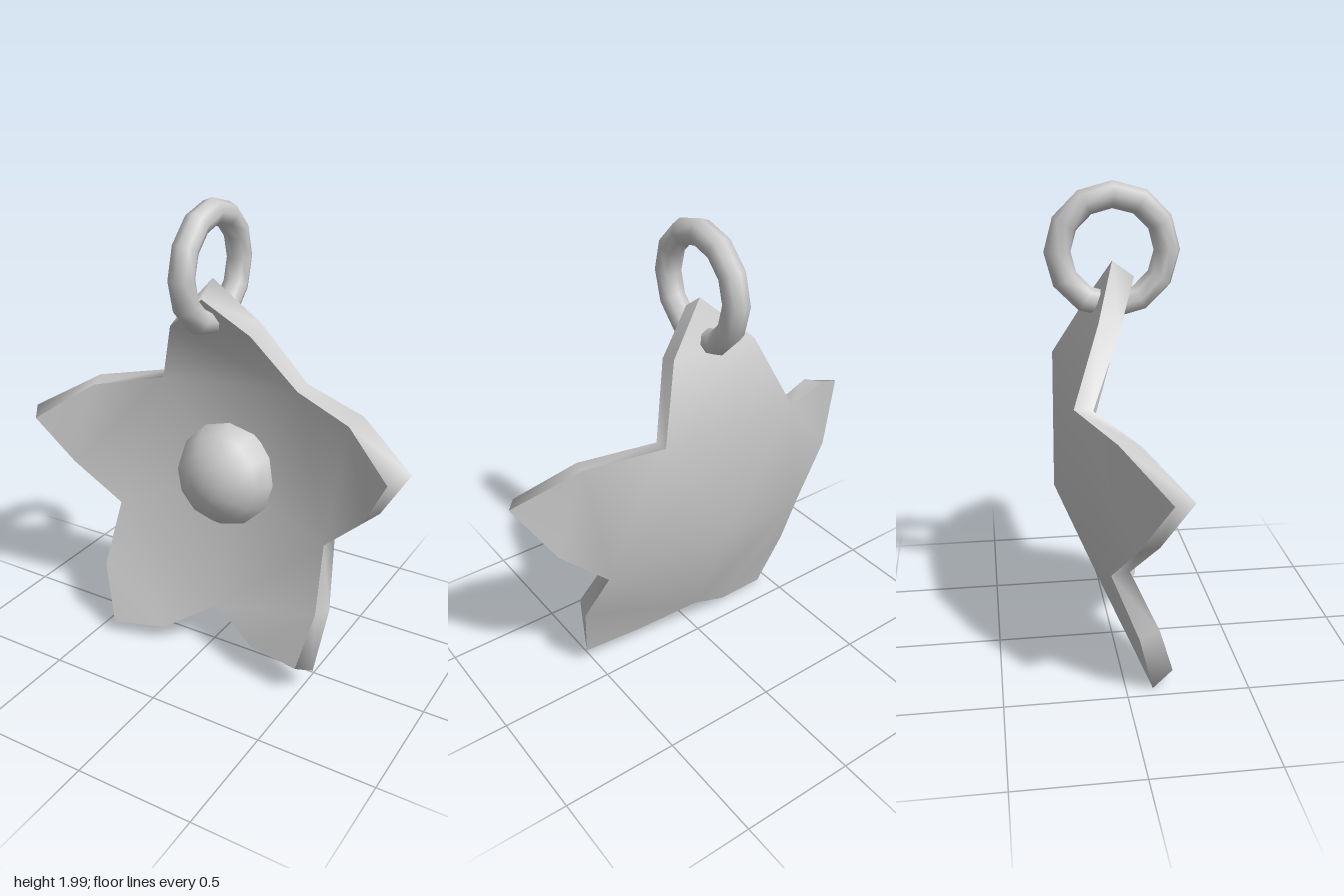
import * as THREE from 'three';

const material = new THREE.MeshStandardMaterial({ color: 0xcccccc, side: THREE.DoubleSide });

// Back edge of the five petals, counter-clockwise: tip, shoulder, valley, shoulder ...
const backEdge = [
  [-0.01, 1.69, 0], [-0.22, 1.49, -0.08], [-0.34, 1.19, -0.19], [-0.63, 1.15, -0.06],
  [-0.87, 1.01, 0.10], [-0.72, 0.77, 0], [-0.51, 0.57, -0.07], [-0.53, 0.29, 0.04],
  [-0.45, 0.01, 0.11], [-0.19, 0.06, 0.06], [0.04, 0.21, -0.03], [0.28, 0.12, 0.06],
  [0.54, 0.10, 0.10], [0.57, 0.37, 0.03], [0.52, 0.63, -0.10], [0.72, 0.82, -0.07],
  [0.865, 1.06, 0.01], [0.61, 1.20, -0.11], [0.31, 1.24, -0.22], [0.17, 1.51, -0.08],
].map((p) => new THREE.Vector3(...p));
const backCentre = new THREE.Vector3(0.01, 0.74, -0.245);
const frontCentre = new THREE.Vector3(0.01, 0.76, -0.15);

// Front edge: pushed forward and leaning inward, most at the tips
const frontEdge = backEdge.map((p, i) => {
  const inset = [0.065, 0.03, 0.015, 0.03][i % 4];
  const depth = [0.088, 0.085, 0.075, 0.085][i % 4];
  const dir = backCentre.clone().sub(p).setZ(0).normalize();
  return p.clone().addScaledVector(dir, inset).add(new THREE.Vector3(0, 0, depth));
});

function surface(points, index) {
  const g = new THREE.BufferGeometry().setFromPoints(points);
  g.setIndex(index);
  g.computeVertexNormals();
  return g;
}

// Five petals folded across the valleys and the shoulders, meeting at a centre point
function petals(centre, edge, facesBack) {
  const n = edge.length;
  const index = [];
  for (let tip = 0; tip < n; tip += 4) {
    const [v0, s0, t, s1, v1] = [-2, -1, 0, 1, 2].map((k) => (tip + k + n) % n);
    index.push(n, v0, v1, v0, s0, s1, v0, s1, v1, s0, t, s1);
  }
  if (facesBack) index.reverse();
  return surface([...edge, centre], index);
}

// Band joining the front edge to the back edge
function rim(front, back) {
  const n = front.length;
  const index = [];
  for (let i = 0; i < n; i++) {
    const j = (i + 1) % n;
    index.push(i, n + i, j, j, n + i, n + j);
  }
  return surface([...front, ...back], index);
}

export function createModel() {
  const model = new THREE.Group();
  model.name = 'flowerPendant';
  const add = (name, geometry, parent = model) => {
    const mesh = new THREE.Mesh(geometry, material);
    mesh.name = name;
    parent.add(mesh);
    return mesh;
  };

  // Cupped flower plate
  const flower = new THREE.Group();
  flower.name = 'flower';
  model.add(flower);
  add('flowerFront', petals(frontCentre, frontEdge, false), flower);
  add('flowerBack', petals(backCentre, backEdge, true), flower);
  add('flowerRim', rim(frontEdge, backEdge), flower);

  // Half dome set in the middle, facing slightly upward
  const domeShape = new THREE.SphereGeometry(0.238, 12, 5, 0, Math.PI * 2, 0, Math.PI / 2);
  const dome = add('centreDome', domeShape.rotateX(Math.PI / 2));
  dome.scale.z = 0.95;
  dome.rotation.x = -0.12;
  dome.position.set(-0.01, 0.79, -0.155);

  // Hanging ring through the top petal
  const ring = add('hangingRing', new THREE.TorusGeometry(0.217, 0.053, 8, 12).rotateY(Math.PI / 2));
  ring.position.set(-0.015, 1.73, 0);

  return model;
}
